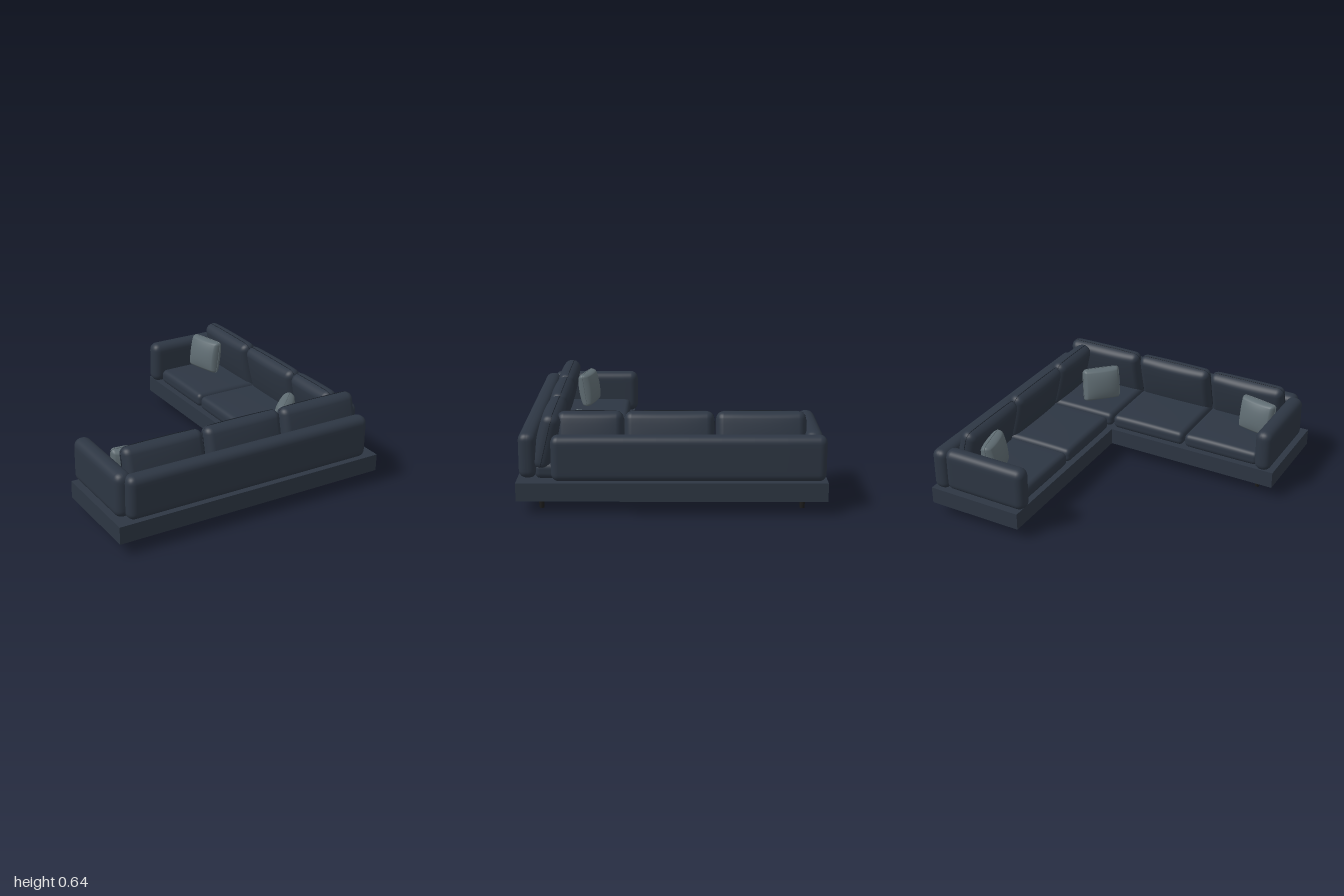
import * as THREE from 'three';
import { mergeVertices } from 'three/addons/utils/BufferGeometryUtils.js';

const material = (name, color) => {
  const m = new THREE.MeshStandardMaterial({ color });
  m.name = name;
  return m;
};

// Rounded box with a dense grid at its edges; puff swells the two z faces.
function softBox(w, h, d, r, puff = 0) {
  const n = 16, c = 4;
  const geo = new THREE.BoxGeometry(1, 1, 1, n, n, n);
  const remap = (t, half) => {
    const i = Math.round((t + 0.5) * n);
    if (i <= c) return -half + (r * i) / c;
    if (i >= n - c) return half - (r * (n - i)) / c;
    return (half - r) * (((i - c) / (n - 2 * c)) * 2 - 1);
  };
  const half = new THREE.Vector3(w / 2, h / 2, d / 2);
  const inner = half.clone().subScalar(r);
  const p = new THREE.Vector3(), core = new THREE.Vector3();
  const pos = geo.attributes.position;
  for (let i = 0; i < pos.count; i++) {
    p.set(remap(pos.getX(i), half.x), remap(pos.getY(i), half.y), remap(pos.getZ(i), half.z));
    core.copy(p).clamp(inner.clone().negate(), inner);
    p.sub(core).setLength(r).add(core);
    const swell = Math.max(0, 1 - (p.x / half.x) ** 2) * Math.max(0, 1 - (p.y / half.y) ** 2);
    p.z += puff * Math.sqrt(swell) * (p.z / half.z);
    pos.setXYZ(i, p.x, p.y, p.z);
  }
  geo.deleteAttribute('normal');
  geo.deleteAttribute('uv');
  const merged = mergeVertices(geo, 1e-5);
  merged.computeVertexNormals();
  return merged;
}

// Thin piping around the outline of a cushion
function piping(w, h, r) {
  const pts = [];
  for (let k = 0; k < 4; k++) {
    const sx = k === 0 || k === 3 ? 1 : -1, sy = k < 2 ? 1 : -1;
    for (let j = 0; j <= 4; j++) {
      const a = (k + j / 4) * Math.PI / 2;
      pts.push(new THREE.Vector3(sx * (w / 2 - r) + r * Math.cos(a), sy * (h / 2 - r) + r * Math.sin(a), 0));
    }
  }
  return new THREE.TubeGeometry(new THREE.CatmullRomCurve3(pts, true, 'centripetal'), 80, 0.0025, 5, true);
}

export function createModel() {
  const model = new THREE.Group();
  model.name = 'cornerSofa';
  const fabric = material('navy fabric', 0x2d3643);
  const seam = material('dark seam', 0x1c232d);
  const grey = material('grey pillow fabric', 0x5f6c72);
  const black = material('black leg', 0x1c1c1c);

  const add = (name, geo, mat, x, y, z, yaw = 0, tilt = 0) => {
    const mesh = new THREE.Mesh(geo, mat);
    mesh.name = name;
    mesh.position.set(x, y, z);
    mesh.rotation.set(tilt, yaw, 0, 'YXZ');
    model.add(mesh);
    return mesh;
  };

  // L-shaped platform
  const outline = new THREE.Shape(
    [[-1, 0.3], [0.3, 0.3], [0.3, -1], [1, -1], [1, 1], [-1, 1]].map(([x, z]) => new THREE.Vector2(x, z)));
  const baseGeo = new THREE.ExtrudeGeometry(outline, { depth: 0.122, bevelEnabled: false });
  baseGeo.rotateX(Math.PI / 2);
  add('base', baseGeo, fabric, 0, 0.212, 0);

  // Tapered legs
  const legGeo = new THREE.CylinderGeometry(0.023, 0.015, 0.1, 16);
  for (const [x, z] of [[-0.85, 0.85], [-0.85, 0.41], [0.41, 0.41], [0.85, 0.85], [0.41, -0.85], [0.85, -0.85]])
    add('leg', legGeo, black, x, 0.05, z);

  // Each wing runs along one axis; the second swaps x and z
  const wings = [
    { swap: false, back: [-0.92, 0.915], arm: [0.275, 0.925], cushions: [[-0.87, -0.29], [-0.275, 0.305], [0.317, 0.91]] },
    { swap: true, back: [-0.99, 0.775], arm: [0.27, 0.9], cushions: [[-0.865, -0.285], [-0.273, 0.307], [0.313, 0.745]] },
  ];
  for (const { swap, back, arm, cushions } of wings) {
    const place = (name, geo, mat, along, y, across, tilt = 0, turn = 0) =>
      add(name, geo, mat, swap ? across : along, y, swap ? along : across, (swap ? Math.PI / 2 : 0) + turn, tilt);

    // Outer back and end arm
    place('backrest', softBox(back[1] - back[0], 0.302, 0.118, 0.05), fabric, (back[0] + back[1]) / 2, 0.363, 0.932);
    place('armrest', softBox(arm[1] - arm[0], 0.31, 0.122, 0.056), fabric,
      -0.915, 0.366, (arm[0] + arm[1]) / 2, 0, Math.PI / 2);

    cushions.forEach(([a, b], i) => {
      // Leaning back cushion with piping
      const w = b - a, mid = (a + b) / 2;
      place('backCushion', softBox(w, 0.37, 0.105, 0.05, 0.022), fabric, mid, 0.449, 0.81, -0.24);
      place('backCushionPiping', piping(w, 0.37, 0.05), seam, mid, 0.449, 0.81, -0.24);
      // Seat cushion; the corner seat is shared by both wings
      if (swap && i === 2) return;
      const seatGeo = softBox(0.58, 0.555, 0.1, 0.035, 0.01);
      seatGeo.rotateX(Math.PI / 2);
      place('seatCushion', seatGeo, fabric, [-0.575, 0.018, 0.61][i], 0.26, 0.608);
    });
  }

  // Loose pillows
  const pillowGeo = softBox(0.28, 0.25, 0.05, 0.025, 0.042);
  const pillowSeam = piping(0.282, 0.252, 0.025);
  for (const [x, z, yaw] of [[-0.725, 0.643, -0.21], [0.525, 0.54, Math.PI / 4], [0.648, -0.72, 1.81]]) {
    add('pillow', pillowGeo, grey, x, 0.435, z, yaw, 0.15);
    add('pillowSeam', pillowSeam, grey, x, 0.435, z, yaw, 0.15);
  }
  return model;
}
